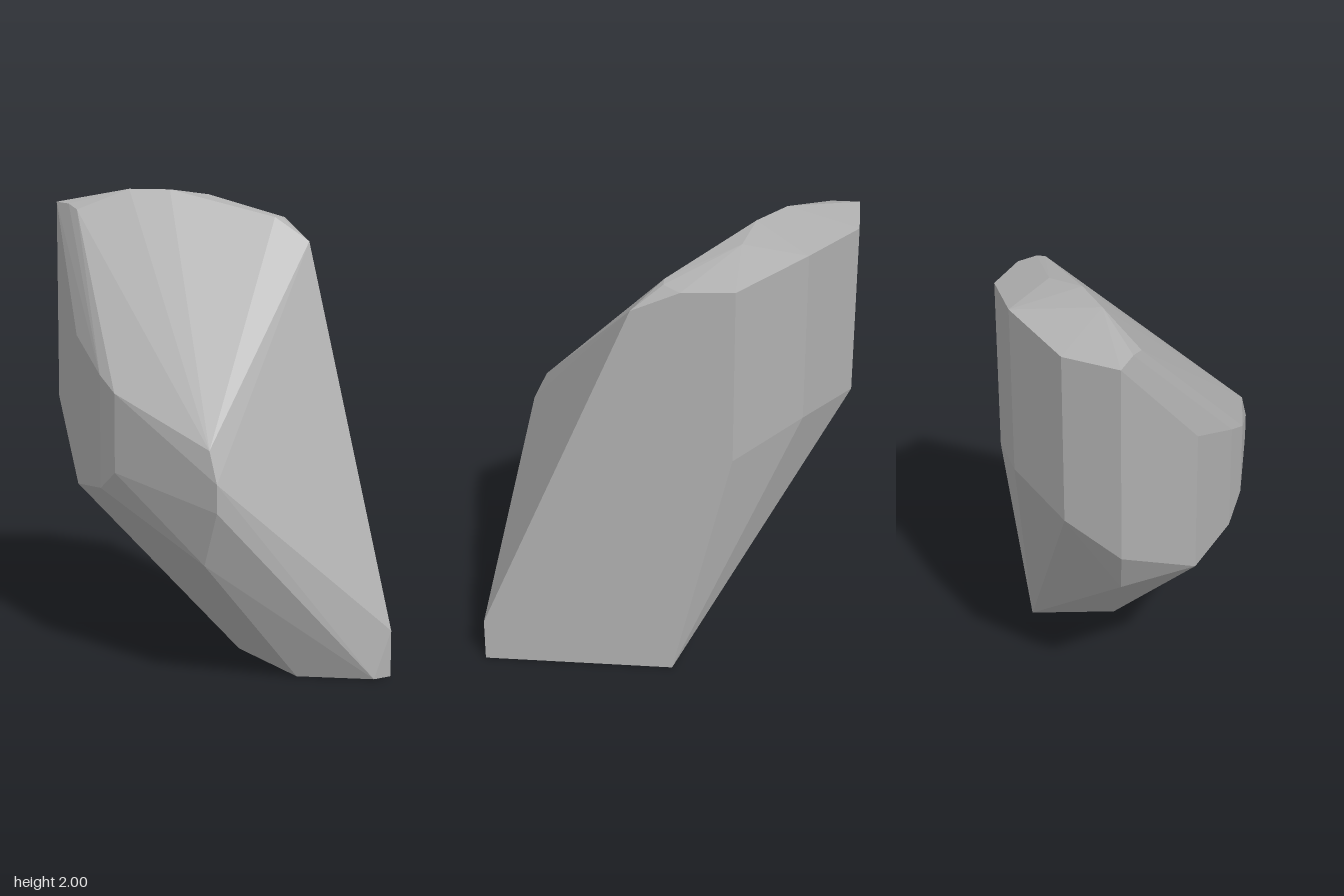
import * as THREE from 'three';
import { ConvexGeometry } from 'three/addons/geometries/ConvexGeometry.js';

// A faceted boulder: the convex hull of its chipped corners.
export function createModel() {
  const stone = new THREE.MeshStandardMaterial({ color: 0xb0b0b0 });
  stone.name = 'stone grey';

  // Foot resting on the ground
  const foot = [
    [0.475, 0, 0.78], [0.39, 0, 0.78], [0.13, 0, 0.58], [0.13, 0, 0.11], [0.475, 0, -0.05],
  ];
  // Upright edges: x, z, bottom y, top y
  const edges = [
    [0.475, 0.78, 0, 0.2],
    [0.475, -0.3, 1.1, 1.89],
    [0.27, -0.58, 1.2, 1.96],
    [-0.05, -0.78, 1.16, 1.93],
    [-0.3, -0.78, 1.04, 1.93],
    [-0.44, -0.32, 0.73, 1.39],
    [-0.48, -0.03, 0.77, 1.26],
    [-0.48, 0.1, 0.86, 1.2],
    [-0.3, 0.64, 0.77, 0.89],
  ].flatMap(([x, z, low, high]) => [[x, low, z], [x, high, z]]);
  // Crown, from the back ridge down to the front slope
  const crown = [
    [-0.3, 1.93, -0.66], [-0.3, 1.91, -0.58], [-0.09, 2, -0.48], [0.05, 2, -0.36],
    [0.22, 1.975, -0.31], [0.38, 1.89, -0.01], [0.42, 1.885, -0.01],
    [0.475, 1.88, -0.08], [0.475, 1.79, 0.12],
  ];
  // Chips on the flank and underside
  const chips = [[-0.3, 1.02, 0.58], [-0.3, 0.53, 0.54], [-0.24, 0.79, -0.65]];

  const points = [...foot, ...edges, ...crown, ...chips].map((p) => new THREE.Vector3(...p));
  const boulder = new THREE.Mesh(new ConvexGeometry(points), stone);
  boulder.name = 'boulder';

  const model = new THREE.Group();
  model.name = 'rock';
  model.add(boulder);
  return model;
}
